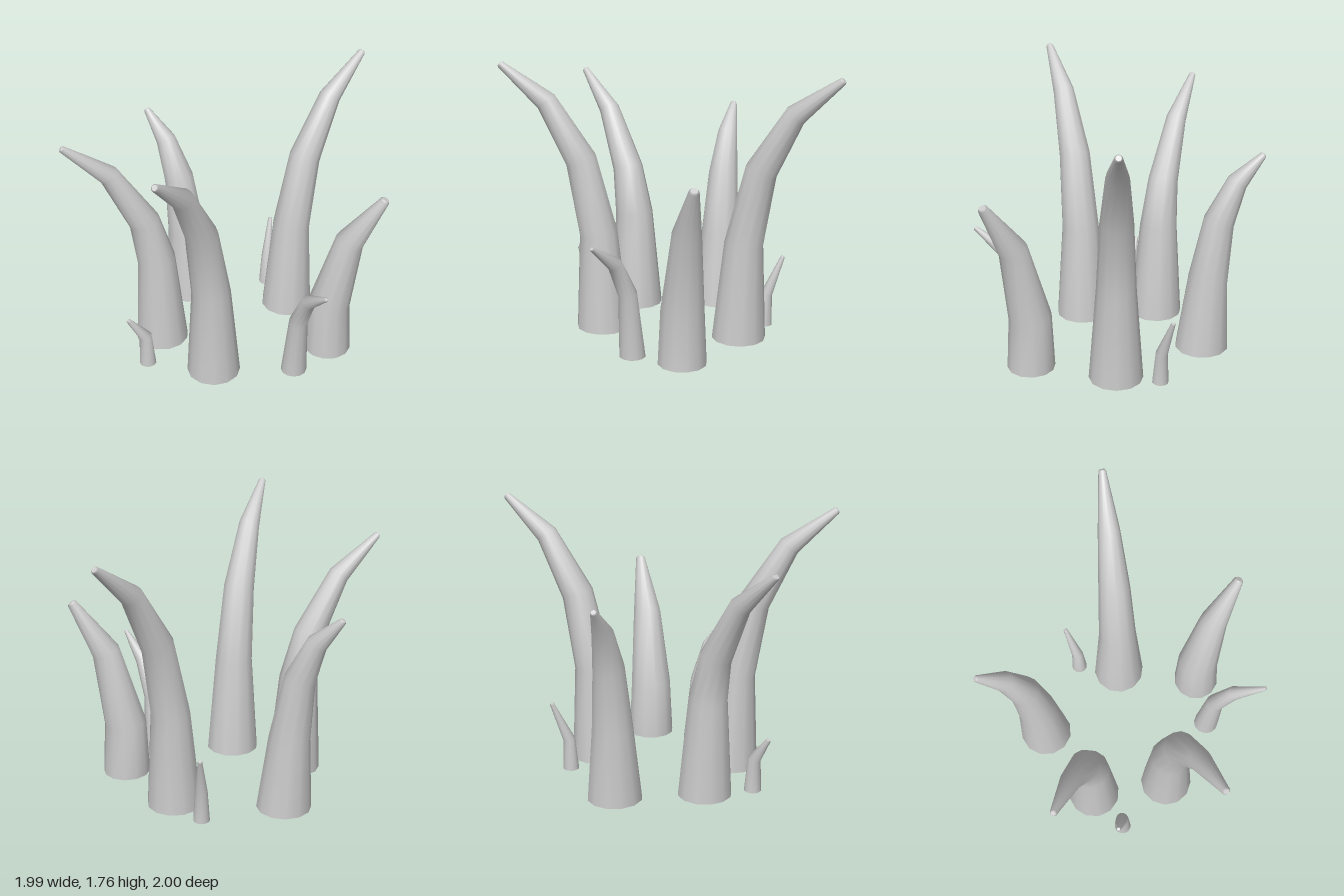
import * as THREE from 'three';

const SIDES = 12;

// Each spike: base [x, z], tip [x, z] giving the lean direction,
// and rings [distance outwards, height, radius] from the foot to the tip.
const SPIKES = [
  { name: 'backRightSpike', base: [0.30, -0.465], tip: [0.675, -0.98],
    rings: [[0, 0.01, 0.173], [0.025, 0.65, 0.125], [0.133, 1.135, 0.103], [0.35, 1.51, 0.07], [0.637, 1.74, 0.024]] },
  { name: 'frontSpike', base: [-0.04, 0.37], tip: [-0.22, 0.98],
    rings: [[0, 0.01, 0.173], [0.025, 0.65, 0.125], [0.133, 1.135, 0.103], [0.35, 1.51, 0.07], [0.637, 1.74, 0.024]] },
  { name: 'leftSpike', base: [-0.46, 0.085], tip: [-0.975, 0.36],
    rings: [[0, 0.01, 0.173], [0.025, 0.65, 0.125], [0.095, 0.95, 0.1], [0.305, 1.32, 0.067], [0.584, 1.55, 0.022]] },
  { name: 'backLeftSpike', base: [-0.395, -0.48], tip: [-0.715, -0.64],
    rings: [[0, 0.01, 0.175], [0.03, 0.5, 0.13], [0.09, 0.9, 0.1], [0.2, 1.16, 0.067], [0.36, 1.33, 0.022]] },
  { name: 'rightSpike', base: [0.652, -0.03], tip: [0.97, -0.035],
    rings: [[0, 0.01, 0.154], [0, 0.37, 0.137], [0.112, 0.865, 0.093], [0.315, 1.19, 0.032]] },
  { name: 'smallFrontRightSpike', base: [0.473, 0.253], tip: [0.70, 0.525],
    rings: [[0, 0, 0.084], [0.04, 0.42, 0.06], [0.155, 0.645, 0.047], [0.35, 0.79, 0.014]] },
  { name: 'smallFrontLeftSpike', base: [-0.48, 0.395], tip: [-0.58, 0.465],
    rings: [[0, 0.01, 0.055], [0.01, 0.23, 0.042], [0.12, 0.385, 0.015]] },
  { name: 'smallBackSpike', base: [0.115, -0.682], tip: [0.115, -0.80],
    rings: [[0, 0.01, 0.052], [0.01, 0.22, 0.039], [0.115, 0.472, 0.014]] },
];

// Bent, tapering horn that leans along +x
function spikeGeometry(rings) {
  const pts = rings.map(([x, y]) => new THREE.Vector2(x, y));
  const dir = (i) => pts[i + 1].clone().sub(pts[i]).normalize();
  const last = rings.length - 1;
  const loops = rings.map(([, , r], i) => {
    let t = new THREE.Vector2(0, 1); // the foot is cut level
    if (i === last) t = dir(i - 1);
    else if (i > 0) t = dir(i - 1).add(dir(i)).normalize();
    return { c: pts[i], t, r };
  });
  // Small bevel at the tip
  const end = loops[last];
  loops.push({ c: end.c.clone().addScaledVector(end.t, end.r * 0.4), t: end.t, r: end.r * 0.7 });

  const pos = [];
  const index = [];
  const addLoop = ({ c, t, r }) => {
    const start = pos.length / 3;
    for (let j = 0; j < SIDES; j++) {
      const a = (j / SIDES) * Math.PI * 2;
      const n = r * Math.cos(a);
      pos.push(c.x + t.y * n, c.y - t.x * n, r * Math.sin(a));
    }
    return start;
  };

  // Skin
  const starts = loops.map(addLoop);
  for (let i = 0; i < loops.length - 1; i++) {
    for (let j = 0; j < SIDES; j++) {
      const k = (j + 1) % SIDES;
      const a = starts[i], b = starts[i + 1];
      index.push(a + j, b + j, a + k, b + j, b + k, a + k);
    }
  }
  // Flat caps with their own vertices, so the rims stay sharp
  const addCap = (loop, up) => {
    const s = addLoop(loop);
    for (let j = 1; j < SIDES - 1; j++) {
      if (up) index.push(s, s + j + 1, s + j);
      else index.push(s, s + j, s + j + 1);
    }
  };
  addCap(loops[0], false);
  addCap(loops[loops.length - 1], true);

  const geo = new THREE.BufferGeometry();
  geo.setAttribute('position', new THREE.Float32BufferAttribute(pos, 3));
  geo.setIndex(index);
  geo.computeVertexNormals();
  return geo;
}

export function createModel() {
  const group = new THREE.Group();
  group.name = 'spikeCluster';
  const material = new THREE.MeshStandardMaterial({ color: 0xcccccc });
  for (const { name, base, tip, rings } of SPIKES) {
    const mesh = new THREE.Mesh(spikeGeometry(rings), material);
    mesh.name = name;
    mesh.position.set(base[0], 0, base[1]);
    mesh.rotation.y = Math.atan2(base[1] - tip[1], tip[0] - base[0]);
    group.add(mesh);
  }
  return group;
}
